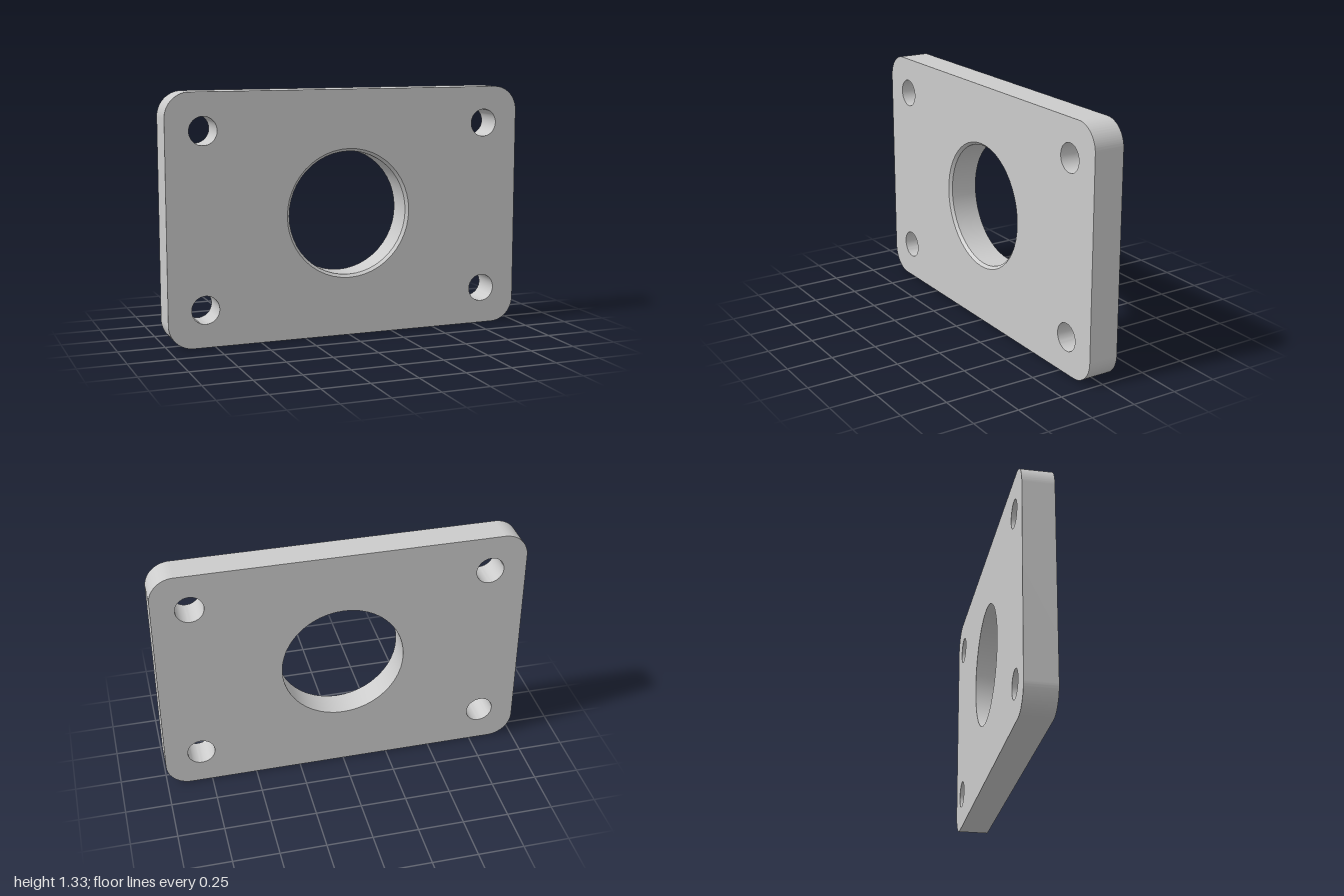
import * as THREE from 'three';
import { toCreasedNormals } from 'three/addons/utils/BufferGeometryUtils.js';

const W = 1, H = 2 / 3, D = 1 / 12;       // half width, half height, half thickness
const CORNER = 0.133, BOLT = 0.075, BORE = 0.335, RIM = 0.35, CHAMFER = 0.015;
const SEG = 24;

// Clockwise circle, so that walls built along it face inwards
const circle = (x, y, r) => new THREE.Path().absarc(x, y, r, 0, Math.PI * 2, true);

function roundedOutline() {
  const s = new THREE.Shape();
  const x = W - CORNER, y = H - CORNER, q = Math.PI / 2;
  [[x, -y], [x, y], [-x, y], [-x, -y]].forEach(([cx, cy], i) =>
    s.absarc(cx, cy, CORNER, (i - 1) * q, i * q, false));
  return s;
}

// Wall between a back contour at z0 and a front contour at z1
function wall(back, z0, front, z1) {
  const a = back.getPoints(SEG), b = front.getPoints(SEG), pos = [];
  for (let i = 0; i < a.length; i++) {
    const j = (i + 1) % a.length;
    if (a[i].distanceTo(a[j]) < 1e-6) continue;
    const p = [a[i].x, a[i].y, z0], q = [a[j].x, a[j].y, z0];
    const r = [b[j].x, b[j].y, z1], s = [b[i].x, b[i].y, z1];
    pos.push(...p, ...q, ...r, ...p, ...r, ...s);
  }
  const g = new THREE.BufferGeometry();
  g.setAttribute('position', new THREE.Float32BufferAttribute(pos, 3));
  return toCreasedNormals(g, Math.PI / 6);
}

export function createModel() {
  const model = new THREE.Group();
  model.name = 'mountingPlate';
  const material = new THREE.MeshStandardMaterial({ color: 0xcccccc });
  const add = (name, geometry) => {
    const mesh = new THREE.Mesh(geometry, material);
    mesh.name = name;
    mesh.position.y = H;
    model.add(mesh);
    return mesh;
  };

  const bolts = [[-1, -1], [1, -1], [1, 1], [-1, 1]].map(([sx, sy]) =>
    circle(sx * 0.8, sy * (H - 0.2), BOLT));
  const bore = circle(0, 0, BORE), rim = circle(0, 0, RIM);

  // Flat faces: the front opening is widened by the chamfer
  const face = (opening) => {
    const s = roundedOutline();
    s.holes.push(opening, ...bolts);
    return new THREE.ShapeGeometry(s, SEG);
  };
  add('frontFace', face(rim).translate(0, 0, D));
  add('backFace', face(bore).rotateY(Math.PI).translate(0, 0, -D));

  // Outer edge with rounded corners
  const outline = roundedOutline();
  add('outerEdge', wall(outline, -D, outline, D));

  // Central bore and its front chamfer
  add('centralBore', wall(bore, -D, bore, D - CHAMFER));
  add('boreChamfer', wall(bore, D - CHAMFER, rim, D));

  // Four bolt holes
  bolts.forEach((b, i) => add(`boltHole${i + 1}`, wall(b, -D, b, D)));

  return model;
}
